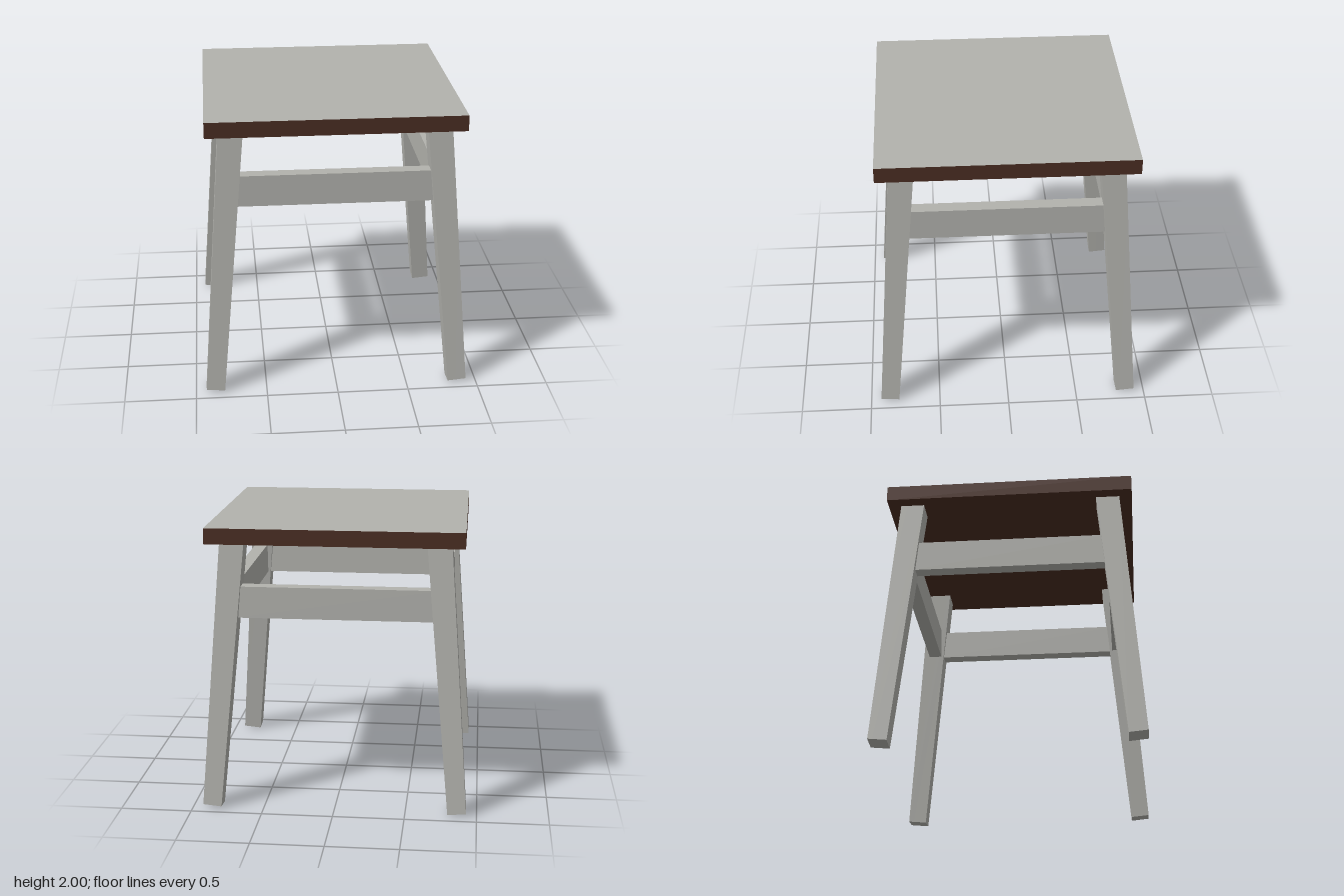
import * as THREE from 'three';

const paint = new THREE.MeshStandardMaterial({ color: 0xb2b2ad });
paint.name = 'greyPaint';
const wood = new THREE.MeshStandardMaterial({ color: 0x4a2d22 });
wood.name = 'darkWood';

const SEAT_BOTTOM = 1.89;

// Tapered, splayed leg; its foot is cut square to the splay.
function makeLeg(sx, sz) {
  const geo = new THREE.BoxGeometry(1, 1, 1);
  const p = geo.attributes.position;
  for (let i = 0; i < p.count; i++) {
    const top = p.getY(i) > 0;
    const outX = p.getX(i) * sx > 0;
    const outZ = p.getZ(i) * sz > 0;
    const reach = (out) => (top ? (out ? 0.792 : 0.624) : (out ? 0.927 : 0.797));
    const footY = 0.0125 * (Number(outX) + Number(outZ));
    p.setXYZ(i, sx * reach(outX), top ? SEAT_BOTTOM : footY, sz * reach(outZ));
  }
  geo.computeVertexNormals();
  return new THREE.Mesh(geo, paint);
}

export function createModel() {
  const stool = new THREE.Group();
  stool.name = 'stool';

  // Seat slab: painted top face, dark wood edges and underside
  const seat = new THREE.Mesh(
    new THREE.BoxGeometry(1.764, 2 - SEAT_BOTTOM, 1.764),
    [wood, wood, paint, wood, wood, wood] // +x, -x, +y, -y, +z, -z
  );
  seat.name = 'seat';
  seat.position.y = (2 + SEAT_BOTTOM) / 2;
  stool.add(seat);

  // Four mirrored legs
  for (const sx of [-1, 1]) {
    for (const sz of [-1, 1]) {
      const leg = makeLeg(sx, sz);
      leg.name = (sz > 0 ? 'front' : 'back') + (sx > 0 ? 'Left' : 'Right') + 'Leg';
      stool.add(leg);
    }
  }

  // Four rails set into the legs, just inside their outer faces
  const railGeo = new THREE.BoxGeometry(1.4, 0.22, 0.095);
  ['front', 'left', 'back', 'right'].forEach((side, i) => {
    const angle = (i * Math.PI) / 2;
    const rail = new THREE.Mesh(railGeo, paint);
    rail.name = side + 'Rail';
    rail.rotation.y = angle;
    rail.position.set(0.738 * Math.sin(angle), 1.47, 0.738 * Math.cos(angle));
    stool.add(rail);
  });

  return stool;
}
